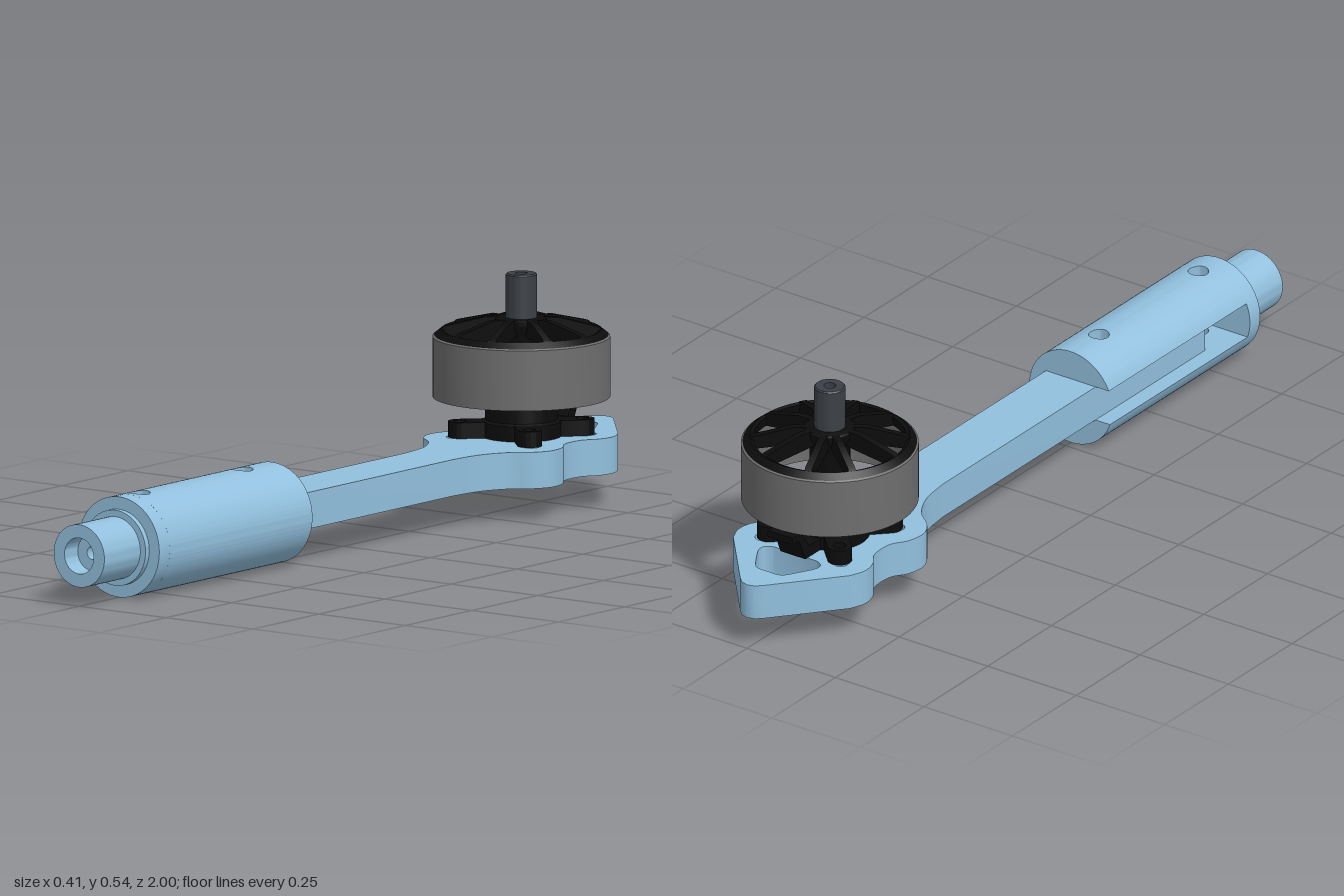
import * as THREE from 'three';
import { toCreasedNormals } from 'three/addons/utils/BufferGeometryUtils.js';

const V2 = (x, y) => new THREE.Vector2(x, y);
const mat = (color) => new THREE.MeshStandardMaterial({ color, side: THREE.DoubleSide });
const blue = mat(0x92c0de), black = mat(0x0c0c0c), grey = mat(0x6e6e6e), steel = mat(0x3c4046);

const AXIS_Y = 0.118, R = 0.117;          // holder axis height and radius
const Y0 = 0.08, Y1 = 0.165;              // arm underside and top
const Z0 = 0.27, Z1 = 0.81;               // slotted length of the holder
const HOLES = [0.38, 0.77], HOLE_R = 0.024;
const MOTOR_Z = -0.675;

function add(parent, name, geo, material, x = 0, y = 0, z = 0) {
  const mesh = new THREE.Mesh(toCreasedNormals(geo, 0.6), material);
  mesh.name = name;
  mesh.position.set(x, y, z);
  parent.add(mesh);
  return mesh;
}
const lathe = (pts, seg = 64) => new THREE.LatheGeometry(pts.map((p) => V2(...p)), seg);
const extrude = (shape, depth) =>
  new THREE.ExtrudeGeometry(shape, { depth, bevelEnabled: false, curveSegments: 20 });
// plan outlines use (x, -z) and rise along y
const plan = (shape, height) => extrude(shape, height).rotateX(-Math.PI / 2);
const circle = (x, y, r) => new THREE.Path().absarc(x, y, r, 0, Math.PI * 2, true);

// rounded slot running from radius r0 to r1 along an angle
function slot(Type, cx, cy, angle, r0, r1, w) {
  const c = Math.cos(angle), s = Math.sin(angle);
  const p = new Type();
  p.absarc(cx + c * r1, cy + s * r1, w, angle - Math.PI / 2, angle + Math.PI / 2, false);
  p.absarc(cx + c * r0, cy + s * r0, w, angle + Math.PI / 2, angle + Math.PI * 1.5, false);
  p.closePath();
  return p;
}

// half-round shell of the holder, pierced by the screw holes; side is +1 above, -1 below
function holderShell(side, flat) {
  const a = Math.sqrt(R * R - flat * flat), span = Math.asin(a / R);
  const xs = [];
  for (let i = 0; i <= 32; i++) xs.push(R * Math.sin(span * (i / 16 - 1)));
  for (let i = 0; i <= 16; i++) xs.push(-HOLE_R * Math.cos((Math.PI * i) / 16));
  xs.sort((p, q) => p - q);
  const pos = [];
  const quad = (p, q, r, s) => {
    const order = side > 0 ? [p, q, r, p, r, s] : [p, r, q, p, s, r];
    order.forEach((v) => pos.push(...v));
  };
  const gap = (x) => Math.sqrt(Math.max(0, HOLE_R * HOLE_R - x * x));
  const skin = (x) => AXIS_Y + side * Math.max(Math.abs(flat), Math.sqrt(Math.max(0, R * R - x * x)));
  const low = AXIS_Y + flat;
  for (let i = 0; i < xs.length - 1; i++) {
    const l = xs[i], r = xs[i + 1];
    if (r - l < 1e-6) continue;
    const pierced = gap((l + r) / 2) > 0;
    for (let k = 0; k <= HOLES.length; k++) {
      const start = (x) => (k === 0 ? Z0 : HOLES[k - 1] + gap(x));
      const end = (x) => (k === HOLES.length ? Z1 : HOLES[k] - gap(x));
      const top = (x, z) => [x, skin(x), z], bot = (x, z) => [x, low, z];
      quad(top(l, end(l)), top(r, end(r)), top(r, start(r)), top(l, start(l)));
      quad(bot(l, start(l)), bot(r, start(r)), bot(r, end(r)), bot(l, end(l)));
      if (k === 0 || pierced)
        quad(bot(r, start(r)), bot(l, start(l)), top(l, start(l)), top(r, start(r)));
      if (k === HOLES.length || pierced)
        quad(bot(l, end(l)), bot(r, end(r)), top(r, end(r)), top(l, end(l)));
    }
  }
  const geo = new THREE.BufferGeometry();
  geo.setAttribute('position', new THREE.Float32BufferAttribute(pos, 3));
  geo.computeVertexNormals();
  return geo;
}

function buildHolder() {
  const g = new THREE.Group();
  g.name = 'holder';
  add(g, 'upperShell', holderShell(1, Y1 - AXIS_Y), blue);
  add(g, 'lowerShell', holderShell(-1, Y0 - AXIS_Y), blue);
  // closed side of the slot
  const wall = new THREE.Shape();
  wall.moveTo(0.07, Y0 - AXIS_Y);
  wall.absarc(0, 0, R, Math.asin((Y0 - AXIS_Y) / R), Math.asin((Y1 - AXIS_Y) / R), false);
  wall.lineTo(0.07, Y1 - AXIS_Y);
  add(g, 'slotWall', extrude(wall, Z1 - Z0), blue, 0, AXIS_Y, Z0);
  // stepped front end with a bored spigot
  const end = lathe([[0.015, Z1], [R, Z1], [R, 0.85], [0.088, 0.85], [0.088, 0.864], [0.073, 0.864],
    [0.073, 1], [0.042, 1], [0.042, 0.95], [0.015, 0.95], [0.015, Z1]]);
  add(g, 'spigot', end.rotateX(Math.PI / 2), blue, 0, AXIS_Y, 0);
  return g;
}

function buildArm() {
  const flare = new THREE.CatmullRomCurve3([[0.07, 0.33], [0.082, 0.41], [0.115, 0.475], [0.16, 0.515],
    [0.179, 0.555], [0.172, 0.605], [0.15, 0.64], [0.145, 0.675], [0.15, 0.71], [0.172, 0.745],
    [0.179, 0.785], [0.165, 0.825]].map(([x, y]) => new THREE.Vector3(x, y, 0)));
  const half = [V2(0.07, -0.7), ...flare.getPoints(60).map((p) => V2(p.x, p.y))];
  half.push(V2(0.032, 0.982), V2(0.018, 0.995), V2(0, 1));
  const mirrored = half.slice(0, -1).reverse().map((p) => V2(-p.x, p.y));
  const shape = new THREE.Shape([...half, ...mirrored]);

  const cy = -MOTOR_Z;
  shape.holes.push(circle(0, -HOLES[0], HOLE_R), circle(0, cy, 0.07));
  for (let i = 0; i < 4; i++)
    shape.holes.push(slot(THREE.Path, 0, cy, Math.PI * (0.25 + i / 2), 0.125, 0.155, 0.019));
  // wire opening near the tip
  const opening = new THREE.Path();
  opening.moveTo(-0.06, 0.81);
  opening.lineTo(0.06, 0.81);
  opening.quadraticCurveTo(0.095, 0.82, 0.075, 0.855);
  opening.lineTo(0.045, 0.905);
  opening.quadraticCurveTo(0.035, 0.918, 0.02, 0.918);
  opening.lineTo(-0.02, 0.918);
  opening.quadraticCurveTo(-0.035, 0.918, -0.045, 0.905);
  opening.lineTo(-0.075, 0.855);
  opening.quadraticCurveTo(-0.095, 0.82, -0.06, 0.81);
  shape.holes.push(opening);
  const g = new THREE.Group();
  g.name = 'arm';
  add(g, 'armPlate', plan(shape, Y1 - Y0), blue, 0, Y0, 0);
  return g;
}

function buildMotor() {
  const g = new THREE.Group();
  g.name = 'motor';
  g.position.z = MOTOR_Z;
  // mounting base with four drilled feet
  for (let i = 0; i < 4; i++) {
    const foot = slot(THREE.Shape, 0, 0, Math.PI * (0.25 + i / 2), 0.07, 0.141, 0.028);
    const h = 0.141 * Math.SQRT1_2;
    foot.holes.push(circle(h * [1, -1, -1, 1][i], h * [1, 1, -1, -1][i], 0.015));
    add(g, 'mountFoot', plan(foot, 0.037), black, 0, Y1, 0);
  }
  add(g, 'baseHub', lathe([[0.05, Y1], [0.092, Y1], [0.092, 0.2], [0.083, 0.205], [0.083, 0.24],
    [0.075, 0.243], [0.073, 0.29], [0.05, 0.29], [0.05, Y1]]), black);
  // bent wire guide behind the base
  const guide = new THREE.Shape([[0.05, 0.166], [0.145, 0.166], [0.17, 0.224], [0.195, 0.224],
    [0.195, 0.24], [0.16, 0.24], [0.13, 0.195], [0.05, 0.195]].map((p) => V2(...p)));
  add(g, 'wireGuide', extrude(guide, 0.07).rotateY(Math.PI / 2), black, -0.035, 0, 0);
  // rotating bell
  add(g, 'bellRing', lathe([[0.186, 0.257], [0.204, 0.257], [0.204, 0.397], [0.2, 0.4],
    [0.186, 0.4], [0.186, 0.257]], 72), grey);
  add(g, 'bellRim', lathe([[0.18, 0.385], [0.2, 0.395], [0.2, 0.4], [0.184, 0.413],
    [0.176, 0.41], [0.18, 0.385]], 72), black);
  add(g, 'bellHub', lathe([[0.03, 0.27], [0.047, 0.27], [0.047, 0.405], [0.06, 0.425],
    [0.06, 0.437], [0.054, 0.441], [0.03, 0.441], [0.03, 0.27]]), black);
  // five pairs of diverging spokes
  const spoke = new THREE.Shape([[0.035, 0.405], [0.19, 0.385], [0.196, 0.4], [0.178, 0.418],
    [0.085, 0.441], [0.035, 0.441]].map((p) => V2(p[0] - 0.035, p[1])));
  for (let i = 0; i < 5; i++) {
    for (const s of [-1, 1]) {
      const pivot = new THREE.Group();
      pivot.name = 'spokePair';
      pivot.rotation.y = (i * Math.PI * 2) / 5 - Math.PI / 2 + s * 0.2;
      const bar = add(pivot, 'spoke', extrude(spoke, 0.017).translate(0, 0, -0.0085), black, 0.035, 0, 0);
      bar.rotation.y = s * 0.1;
      g.add(pivot);
    }
  }
  add(g, 'shaft', lathe([[0.014, 0.2], [0.036, 0.2], [0.036, 0.54], [0.033, 0.543],
    [0.014, 0.543], [0.014, 0.2]], 40), steel);
  return g;
}

export function createModel() {
  const model = new THREE.Group();
  model.name = 'motorArm';
  model.add(buildHolder(), buildArm(), buildMotor());
  return model;
}
